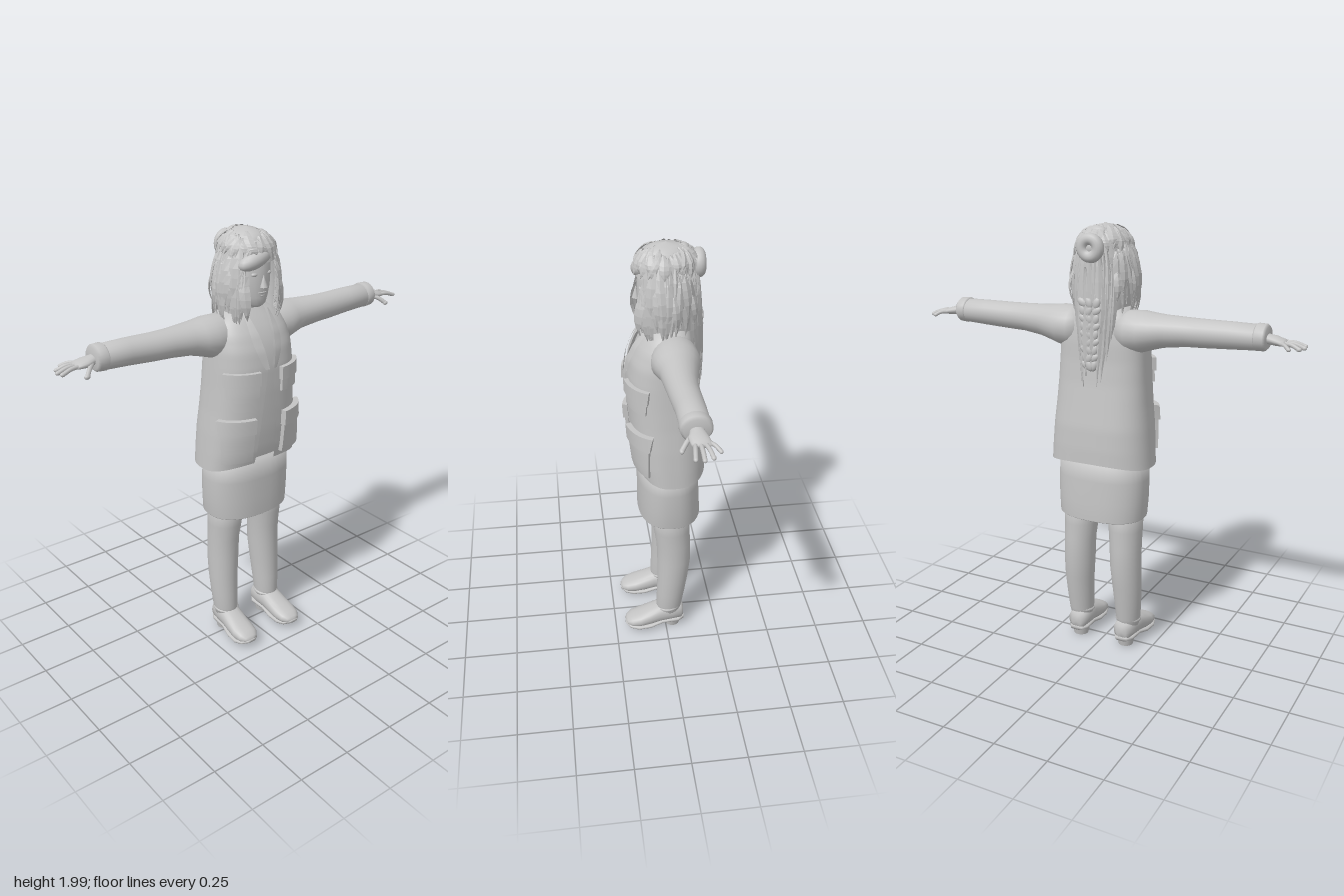
import * as THREE from 'three';
import { mergeVertices, mergeGeometries, toCreasedNormals } from 'three/addons/utils/BufferGeometryUtils.js';

const { lerp, clamp } = THREE.MathUtils;
const PI = Math.PI;
let seed = 7;
const rnd = (a = 0, b = 1) => {
  seed = (seed * 16807) % 2147483647;
  return a + (b - a) * (seed / 2147483647);
};
const pow = (v, e) => Math.sign(v) * Math.abs(v) ** e;

// Grid surface from fn(u, v) -> [x, y, z], u and v in 0..1
function surface(fn, nu, nv) {
  const pos = [], idx = [];
  for (let j = 0; j <= nv; j++) for (let i = 0; i <= nu; i++) pos.push(...fn(i / nu, j / nv));
  for (let j = 0; j < nv; j++) for (let i = 0; i < nu; i++) {
    const a = j * (nu + 1) + i, c = a + nu + 1;
    idx.push(a, a + 1, c, a + 1, c + 1, c);
  }
  let g = new THREE.BufferGeometry();
  g.setAttribute('position', new THREE.Float32BufferAttribute(pos, 3));
  g.setIndex(idx);
  g = mergeVertices(g, 1e-5);
  g.computeVertexNormals();
  return g;
}

// Linear lookup in rows that start with an ascending key
function sample(rows, k) {
  let i = 0;
  while (i < rows.length - 2 && k > rows[i + 1][0]) i++;
  const t = clamp((k - rows[i][0]) / (rows[i + 1][0] - rows[i][0]), 0, 1);
  return rows[i].map((v, n) => lerp(v, rows[i + 1][n], t));
}

// Upright form from rows [y, half width, front z, back z]; angle 0 is the front
const form = (rows, zc, e) => (y, a, off = 0) => {
  const [, rx, zf, zb] = sample(rows, y);
  const s = Math.sin(a), c = Math.cos(a);
  return [pow(s, e) * rx + s * off, y, zc + pow(c, e) * (c > 0 ? zf - zc : zc - zb) + c * off];
};

// Capped loft along x, y or z; rows [t, centre u, centre v, radius u, radius v]
function loft(axis, rows, seg = 20, e = 1) {
  const ends = [[...rows[0].slice(0, 3), 0, 0], ...rows, [...rows.at(-1).slice(0, 3), 0, 0]];
  return surface((u, v) => {
    const [t, cu, cv, ru, rv] = ends[Math.round(v * (ends.length - 1))];
    const a = (u === 1 ? 0 : u) * PI * 2;
    const p = cu + pow(Math.cos(a), e) * ru, q = cv + pow(Math.sin(a), e) * rv;
    return { x: [t, p, q], y: [q, t, p], z: [p, q, t] }[axis];
  }, seg, ends.length - 1);
}

function mirrored(g) {
  const m = g.clone().scale(-1, 1, 1);
  if (!m.index) m.setIndex([...Array(m.attributes.position.count).keys()]);
  const ix = m.index.array;
  for (let i = 0; i < ix.length; i += 3) [ix[i], ix[i + 1]] = [ix[i + 1], ix[i]];
  return m;
}

export function createModel() {
  const model = new THREE.Group();
  const grey = new THREE.MeshStandardMaterial({ color: 0xc4c4c4, side: THREE.DoubleSide });
  grey.name = 'clay grey';
  const add = (name, g) => {
    const m = new THREE.Mesh(g, grey);
    m.name = name;
    model.add(m);
    return m;
  };
  const pair = (name, g) => {
    add('left ' + name, g);
    add('right ' + name, mirrored(g));
  };
  const ball = (x, y, z, rx, ry, rz) =>
    new THREE.SphereGeometry(1, 16, 12).scale(rx, ry, rz).translate(x, y, z);

  // Jacket, open down the front, over a shirt
  const torsoRows = [
    [0.93, 0.243, 0.122, -0.187], [1.0, 0.238, 0.138, -0.186], [1.1, 0.23, 0.15, -0.18],
    [1.2, 0.219, 0.156, -0.165], [1.3, 0.211, 0.16, -0.15], [1.4, 0.205, 0.16, -0.14],
    [1.48, 0.2, 0.148, -0.137], [1.55, 0.185, 0.12, -0.13], [1.6, 0.16, 0.085, -0.118],
    [1.63, 0.12, 0.06, -0.1], [1.65, 0.07, 0.045, -0.085]];
  const torso = form(torsoRows, -0.02, 0.78);
  const gapRows = [[0.93, 0.055], [1.1, 0.045], [1.2, 0.035], [1.4, 0.012], [1.5, 0.03], [1.65, 0.055]];
  const angleAt = (x, y) => Math.asin(Math.min(1, x / sample(torsoRows, y)[1]) ** (1 / 0.78));
  const gapAngle = (y, extra = 0) => angleAt(sample(gapRows, y)[1] + extra, y);
  add('jacket', surface((u, v) => {
    const y = lerp(0.93, 1.65, v), a = gapAngle(y);
    const p = torso(y, lerp(a, 2 * PI - a, u));
    p[1] += (1 - v) ** 6 * 0.012 * Math.cos(4 * PI * u);
    return p;
  }, 64, 40));
  add('shirt', surface((u, v) => torso(lerp(0.96, 1.64, v), u * 2 * PI, -0.02), 40, 20));

  // Raised patch lying on the torso between two x and two y positions
  const patch = (x0, x1, y0, y1, thick) => toCreasedNormals(surface((u, v) => {
    const edge = u === 0 || u === 1 || v === 0 || v === 1;
    const s = clamp((u * 10 - 1) / 8, 0, 1), t = clamp((v * 8 - 1) / 6, 0, 1);
    const y = lerp(y0, y1, t);
    return torso(y, lerp(angleAt(x0, y), angleAt(x1, y), s), edge ? -0.005 : thick);
  }, 10, 8), 0.7);
  pair('lower pocket', patch(0.08, 0.205, 0.97, 1.13, 0.018));
  pair('lower pocket flap', patch(0.075, 0.208, 1.11, 1.18, 0.026));
  pair('upper pocket', patch(0.06, 0.185, 1.28, 1.35, 0.012));
  pair('upper pocket flap', patch(0.055, 0.188, 1.335, 1.395, 0.02));
  pair('lapel', surface((u, v) => {
    const y = lerp(1.4, 1.635, v);
    return torso(y, gapAngle(y, u * 0.04 * Math.sin(PI * (0.15 + v * 0.75))), 0.008 + 0.006 * (1 - u));
  }, 4, 14));

  // Sleeves, cuffs and hands
  pair('sleeve', loft('x', [
    [0.08, 1.53, -0.035, 0.085, 0.085], [0.14, 1.53, -0.033, 0.093, 0.1], [0.2, 1.533, -0.03, 0.091, 0.104],
    [0.25, 1.538, -0.03, 0.08, 0.092], [0.3, 1.543, -0.03, 0.071, 0.08], [0.4, 1.547, -0.024, 0.063, 0.068],
    [0.48, 1.548, -0.025, 0.061, 0.063], [0.6, 1.552, -0.03, 0.058, 0.06], [0.74, 1.555, -0.03, 0.053, 0.06]], 24));
  pair('cuff', loft('x', [[0.7, 1.556, -0.03, 0.05, 0.056], [0.71, 1.556, -0.03, 0.058, 0.064],
    [0.745, 1.557, -0.03, 0.056, 0.062], [0.755, 1.557, -0.03, 0.046, 0.052]], 24));
  const finger = (x0, y0, z0, x1, y1, z1, r) => {
    const path = new THREE.CatmullRomCurve3([new THREE.Vector3(x0, y0, z0),
      new THREE.Vector3((x0 + x1) / 2, (y0 + y1) / 2 + 0.006, (z0 + z1) / 2), new THREE.Vector3(x1, y1, z1)]);
    return [new THREE.TubeGeometry(path, 6, r, 8), ball(x1, y1, z1, r * 1.3, r, r)];
  };
  pair('palm', loft('x', [[0.72, 1.555, -0.03, 0.025, 0.03], [0.76, 1.552, -0.03, 0.021, 0.03],
    [0.79, 1.548, -0.03, 0.02, 0.04], [0.825, 1.543, -0.036, 0.014, 0.04], [0.835, 1.541, -0.036, 0.008, 0.034]], 16));
  pair('fingers', mergeGeometries([
    finger(0.815, 1.543, -0.066, 0.86, 1.53, -0.1, 0.008), finger(0.825, 1.543, -0.05, 0.893, 1.528, -0.068, 0.009),
    finger(0.825, 1.543, -0.032, 0.905, 1.528, -0.034, 0.009), finger(0.82, 1.543, -0.012, 0.9, 1.53, -0.002, 0.009),
    finger(0.765, 1.545, -0.01, 0.815, 1.512, 0.035, 0.01)].flat()));

  // Skirt
  add('skirt', loft('y', [[0.66, -0.027, 0, 0.14, 0.203], [0.665, -0.027, 0, 0.146, 0.207],
    [0.75, -0.025, 0, 0.143, 0.214], [0.85, -0.022, 0, 0.141, 0.216], [0.95, -0.02, 0, 0.135, 0.21]], 40, 0.85));

  // Legs and shoes
  pair('leg', loft('y', [
    [0.08, -0.015, 0.125, 0.055, 0.048], [0.14, -0.017, 0.126, 0.063, 0.058], [0.22, -0.025, 0.127, 0.068, 0.063],
    [0.32, -0.034, 0.126, 0.074, 0.069], [0.42, -0.04, 0.122, 0.08, 0.073], [0.52, -0.038, 0.12, 0.081, 0.074],
    [0.6, -0.03, 0.116, 0.085, 0.079], [0.72, -0.025, 0.112, 0.09, 0.085]], 24));
  pair('shoe', loft('z', [
    [-0.088, 0.122, 0.08, 0.025, 0.03], [-0.075, 0.122, 0.085, 0.045, 0.045], [-0.03, 0.123, 0.09, 0.054, 0.05],
    [0.03, 0.126, 0.086, 0.056, 0.05], [0.08, 0.128, 0.07, 0.058, 0.044], [0.13, 0.13, 0.058, 0.06, 0.035],
    [0.17, 0.13, 0.052, 0.053, 0.027], [0.193, 0.13, 0.048, 0.035, 0.016], [0.2, 0.13, 0.046, 0.018, 0.008]], 20, 0.85));
  pair('shoe collar', new THREE.TorusGeometry(0.053, 0.009, 8, 24).rotateX(PI / 2 + 0.12).translate(0.125, 0.128, -0.015));
  pair('sole', loft('z', [
    [-0.09, 0.122, 0.046, 0.03, 0.01], [-0.06, 0.122, 0.045, 0.05, 0.011], [0.02, 0.125, 0.042, 0.05, 0.01],
    [0.08, 0.129, 0.028, 0.059, 0.011], [0.14, 0.131, 0.027, 0.061, 0.011], [0.18, 0.131, 0.034, 0.05, 0.01],
    [0.203, 0.131, 0.042, 0.022, 0.007]], 16, 0.6));
  pair('heel', new THREE.CylinderGeometry(0.046, 0.035, 0.05, 20).translate(0.122, 0.025, -0.035));

  // Neck, head and face
  add('neck', loft('y', [[1.52, -0.03, 0, 0.06, 0.065], [1.62, -0.02, 0, 0.052, 0.055], [1.74, -0.01, 0, 0.055, 0.055]]));
  add('head', loft('y', [
    [1.655, 0.055, 0, 0.025, 0.025], [1.67, 0.045, 0, 0.052, 0.045], [1.7, 0.025, 0, 0.078, 0.065],
    [1.75, 0.008, 0, 0.1, 0.083], [1.82, 0, 0, 0.108, 0.092], [1.89, -0.005, 0, 0.1, 0.088], [1.94, -0.01, 0, 0.07, 0.06]], 28));
  add('nose', new THREE.ConeGeometry(0.018, 0.055, 8).translate(0, 1.775, 0.112));
  add('lips', mergeGeometries([ball(0, 1.722, 0.098, 0.024, 0.006, 0.01), ball(0, 1.709, 0.094, 0.02, 0.007, 0.011)]));
  pair('eye', ball(0.036, 1.802, 0.094, 0.016, 0.009, 0.01));

  // Hair shell
  const hair = form([
    [1.3, 0.09, 0.08, -0.162], [1.55, 0.115, 0.1, -0.158], [1.65, 0.128, 0.118, -0.155], [1.75, 0.13, 0.122, -0.15],
    [1.85, 0.12, 0.12, -0.145], [1.92, 0.1, 0.105, -0.135], [1.96, 0.073, 0.08, -0.11], [1.98, 0.04, 0.04, -0.07],
    [1.985, 0, -0.01, -0.01]], -0.01, 0.95);
  add('hair crown', surface((u, v) => hair(lerp(1.85, 1.985, v), u * 2 * PI, -0.006), 32, 14));
  add('hair back', surface((u, v) => hair(lerp(1.62, 1.86, v), lerp(0.95, 2 * PI - 0.95, u), -0.012), 32, 8));
  add('swept fringe', ball(0, 0, 0, 0.088, 0.04, 0.045).rotateZ(0.35).translate(-0.025, 1.868, 0.085));

  // Pointed locks that hang over the shell
  const lock = (a, y0, y1, w, lift, drift) => {
    const g = surface((u, v) => {
      const b = a + drift * v, k = Math.round(u * 4) * PI / 2;
      const [x, y, z] = hair(lerp(y0, y1, v), b, lift * Math.sin(v * PI * 0.8));
      const ww = w * Math.min(1, 0.3 + v * 3, (1 - v) * 2.5) * Math.cos(k);
      const th = 0.008 * (1 - v * 0.7) * Math.sin(k);
      return [x + Math.cos(b) * ww + Math.sin(b) * th, y, z - Math.sin(b) * ww + Math.cos(b) * th];
    }, 4, 6).toNonIndexed();
    g.computeVertexNormals();
    return g;
  };
  const locks = (n, make) => mergeGeometries(Array.from({ length: n }, (_, i) => make((i + 0.5) / n)));
  add('crown locks', locks(46, t =>
    lock(t * 2 * PI, rnd(1.94, 1.982), rnd(1.84, 1.9), rnd(0.012, 0.022), rnd(0.004, 0.016), rnd(-0.4, 0.4))));
  const side = locks(26, t =>
    lock(lerp(0.72, 2.3, t), rnd(1.8, 1.92), rnd(1.58, 1.7), rnd(0.014, 0.026), rnd(0.004, 0.03), rnd(-0.2, 0.15)));
  pair('side locks', side);
  pair('front locks', locks(5, t =>
    lock(lerp(0.68, 1.0, t), 1.84, lerp(1.63, 1.57, t), 0.02, rnd(0.004, 0.022), rnd(-0.05, 0.1))));
  add('back locks', locks(26, t =>
    lock(lerp(2.35, 3.93, t), rnd(1.75, 1.9), rnd(1.34, 1.52), rnd(0.012, 0.02), rnd(0, 0.014), rnd(-0.05, 0.05))));

  // Plait down the back, framed by two long strands
  add('plait', mergeGeometries(Array.from({ length: 27 }, (_, i) => {
    const row = Math.floor(i / 3), s = (i % 3) - 1, w = 0.034 * (1 - row * 0.06);
    return ball(0, 0, 0, 0.017, 0.026, 0.012).rotateZ(s * -0.6 + (row % 2 ? 0.35 : -0.35))
      .translate(s * w, 1.66 - row * 0.034, -0.163 + Math.abs(s) * 0.005);
  })));
  pair('long strand', mergeGeometries([lock(2.55, 1.8, 1.31, 0.018, 0.004, 0.1), lock(2.75, 1.8, 1.29, 0.016, 0.008, 0.06)]));

  // Ring-shaped bun with a smaller knot in front of it
  add('bun', new THREE.TorusGeometry(0.037, 0.026, 14, 28).translate(0, 1.89, -0.15));
  add('bun centre', ball(0, 1.89, -0.145, 0.03, 0.03, 0.018));
  add('knot', ball(0, 1.955, -0.085, 0.045, 0.022, 0.025));

  return model;
}
